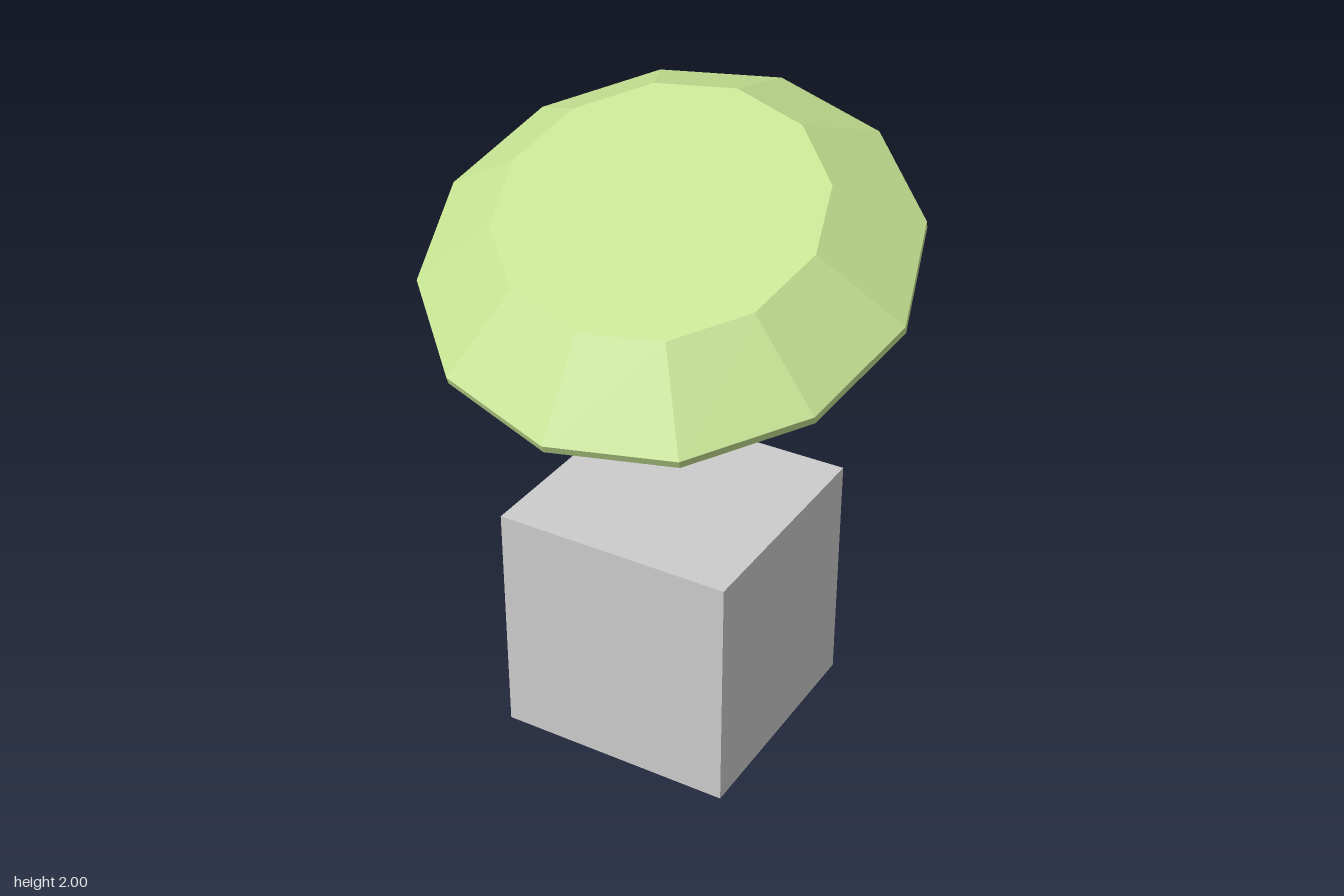
import * as THREE from 'three';

const SIDES = 12;

// Faceted solid made of tilted rings, listed from the bottom point to the top face
function ringSolid(rings, axisU, axisV) {
  const point = ({ centre, r }, i) => {
    const a = (i / SIDES) * Math.PI * 2;
    return new THREE.Vector3(...centre)
      .addScaledVector(axisU, r * Math.cos(a))
      .addScaledVector(axisV, r * Math.sin(a));
  };
  const points = [];
  for (let k = 0; k < rings.length - 1; k++) {
    const low = rings[k], high = rings[k + 1];
    for (let i = 0; i < SIDES; i++) {
      if (low.r > 0) points.push(point(low, i), point(high, i), point(low, i + 1));
      if (high.r > 0) points.push(point(high, i), point(high, i + 1), point(low, i + 1));
    }
  }
  const geometry = new THREE.BufferGeometry().setFromPoints(points);
  geometry.computeVertexNormals();
  return geometry;
}

export function createModel() {
  const model = new THREE.Group();
  model.name = 'gemAboveCube';

  // Plain cube underneath
  const cube = new THREE.Mesh(
    new THREE.BoxGeometry(0.772, 0.777, 0.772),
    new THREE.MeshStandardMaterial({ color: 0xcccccc })
  );
  cube.name = 'baseCube';
  cube.position.set(-0.02, 0.3885, -0.075);
  model.add(cube);

  // Tilted cut gem: point, girdle band, crown and flat table
  const table = [0.017, 1.81, 0.077];
  const rings = [
    { centre: [-0.03, 0.99, -0.333], r: 0 },
    { centre: [0, 1.612, -0.01], r: 1 },
    { centre: [0.002, 1.636, 0.001], r: 1 },
    { centre: table, r: 0.655 },
    { centre: table, r: 0 },
  ];
  const gem = new THREE.Mesh(
    ringSolid(rings, new THREE.Vector3(0.728, -0.055, -0.02), new THREE.Vector3(0, -0.295, 0.668)),
    new THREE.MeshStandardMaterial({ color: 0xc4e191, flatShading: true })
  );
  gem.name = 'gem';
  model.add(gem);

  return model;
}
